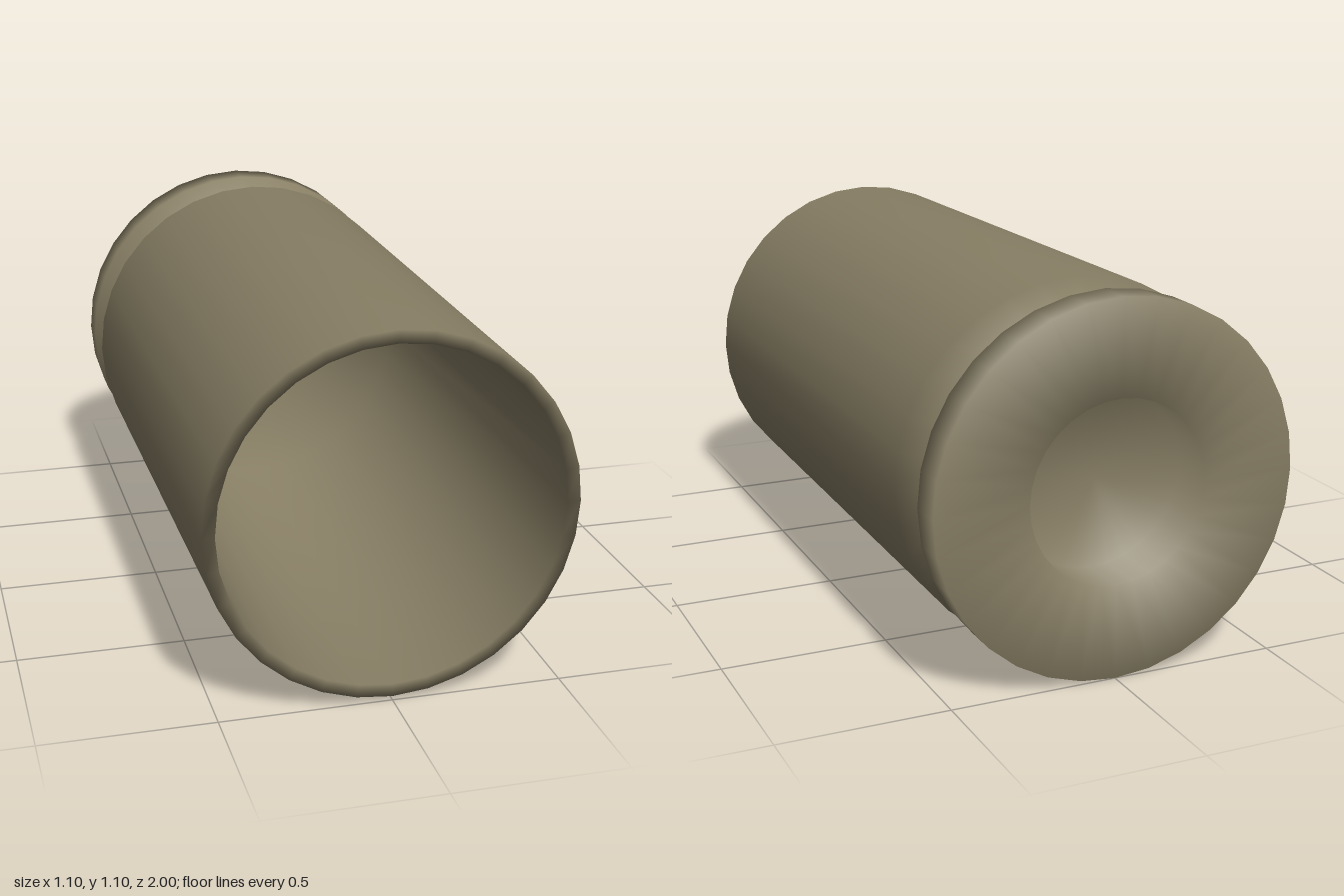
import * as THREE from 'three';

export function createModel() {
  const model = new THREE.Group();
  model.name = 'cartridgeCase';

  const brass = new THREE.MeshStandardMaterial({ color: 0x877e64 });
  brass.name = 'dull brass';

  // Closed wall profile: [radius, position along the axis], base to mouth and back inside
  const profile = [
    [0, -0.85], [0.27, -0.85], [0.27, -1],      // primer pocket
    [0.55, -1], [0.55, -0.89],                  // rim
    [0.46, -0.85], [0.46, -0.78],               // extractor groove
    [0.55, -0.72], [0.538, 1],                  // tapered body
    [0.5, 1], [0.5, -0.7], [0, -0.7],           // mouth lip and hollow interior
  ].map(([r, z]) => new THREE.Vector2(r, z));

  // Lathe lies on its side with the open mouth facing the front
  const geometry = new THREE.LatheGeometry(profile, 32);
  geometry.rotateX(Math.PI / 2);

  const casing = new THREE.Mesh(geometry, brass);
  casing.name = 'casing';
  casing.position.y = 0.55;
  model.add(casing);

  return model;
}
